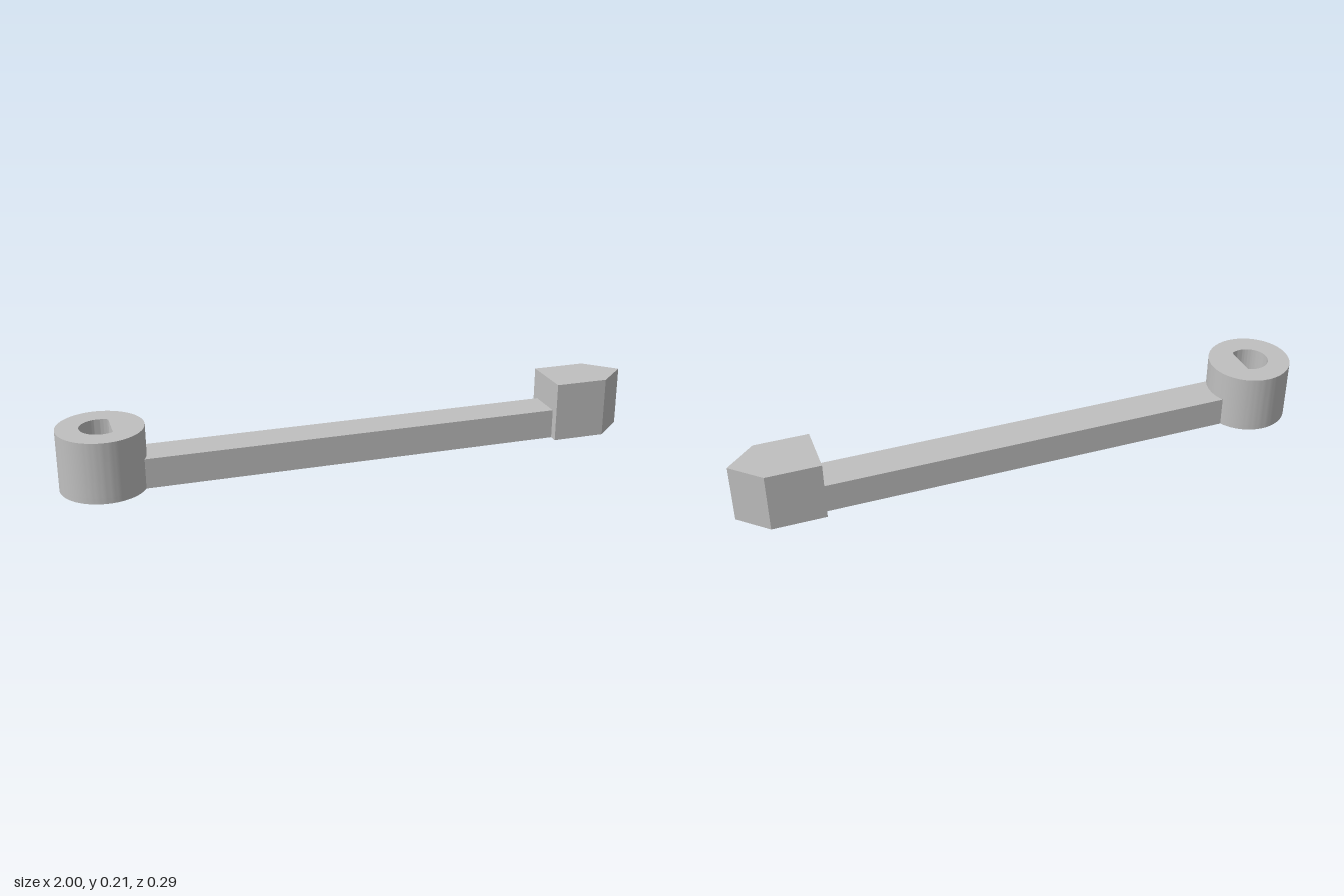
import * as THREE from 'three';
import { toCreasedNormals } from 'three/addons/utils/BufferGeometryUtils.js';

const HEIGHT = 0.207;      // hub and head height
const HUB_X = -0.857;
const HUB_R = 0.143;
const BORE_R = 0.067;
const BEAM_HALF = 0.064;

export function createModel() {
  const group = new THREE.Group();
  const grey = new THREE.MeshStandardMaterial({ color: 0xc0c0c0 });
  grey.name = 'grey';

  // Extrudes a plan drawn in x and -z upward from y0 to y1
  function addPlan(name, shape, y0, y1, x = 0) {
    let geo = new THREE.ExtrudeGeometry(shape, { depth: y1 - y0, bevelEnabled: false, curveSegments: 64 });
    geo.rotateX(-Math.PI / 2);
    geo = toCreasedNormals(geo, 0.5);
    const mesh = new THREE.Mesh(geo, grey);
    mesh.name = name;
    mesh.position.set(x, y0, 0);
    group.add(mesh);
  }

  const disc = (hole) => {
    const shape = new THREE.Shape().absarc(0, 0, HUB_R, 0, Math.PI * 2);
    shape.holes.push(hole);
    return shape;
  };

  // Hub: D-shaped bore above a shallow round counterbore
  const flat = Math.acos(0.035 / BORE_R);
  const dBore = new THREE.Path().absarc(0, 0, BORE_R, flat, Math.PI * 2 - flat);
  dBore.closePath();
  const roundBore = new THREE.Path().absarc(0, 0, 0.074, 0, Math.PI * 2);
  addPlan('hub', disc(dBore), 0.02, HEIGHT, HUB_X);
  addPlan('hubCounterbore', disc(roundBore), 0, 0.02, HUB_X);

  // Arm joining the hub to the pointer head
  const armStart = HUB_X + Math.sqrt(HUB_R ** 2 - BEAM_HALF ** 2);
  const armEnd = 0.715;
  const arm = new THREE.Mesh(new THREE.BoxGeometry(armEnd - armStart, 0.103, BEAM_HALF * 2), grey);
  arm.name = 'arm';
  arm.position.set((armStart + armEnd) / 2, 0.0515, 0);
  group.add(arm);

  // Pointed head
  const head = new THREE.Shape([
    [armEnd, -0.093], [0.9, -0.093], [1, 0], [0.9, 0.093], [armEnd, 0.093],
  ].map(([x, y]) => new THREE.Vector2(x, y)));
  addPlan('pointerHead', head, 0, HEIGHT);

  return group;
}
